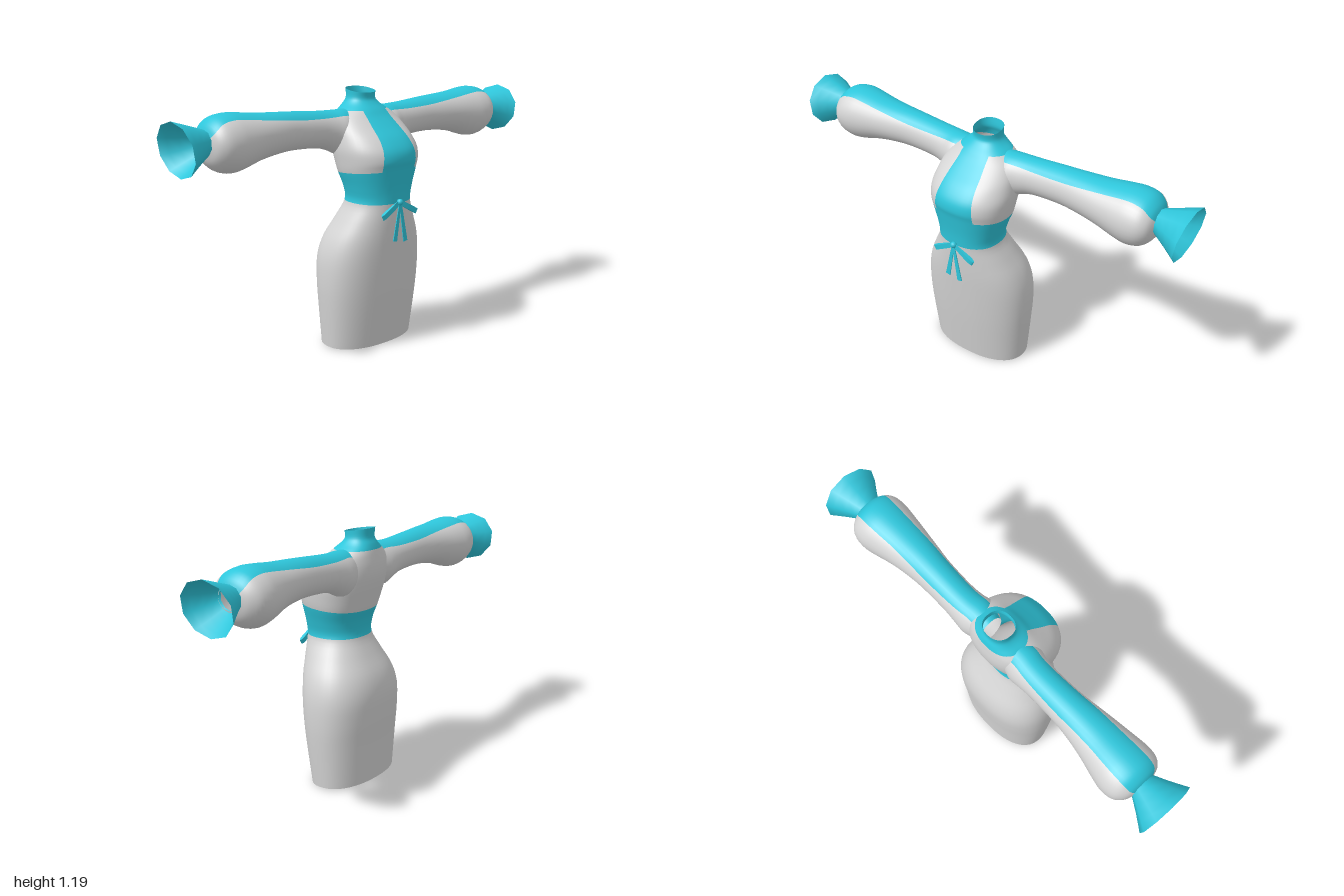
import * as THREE from 'three';

const material = (name, color) => {
  const m = new THREE.MeshStandardMaterial({ color, side: THREE.DoubleSide });
  m.name = name;
  return m;
};

// Catmull-Rom blend of one channel
const blend = (a, b, c, d, t) =>
  0.5 * (2 * b + (c - a) * t + (2 * a - 5 * b + 4 * c - d) * t * t + (3 * b - a - 3 * c + d) * t * t * t);

// Skin through cross-sections [h, sMin, sMax, tMin, tMax, panelHalf, tilt].
// A ring lies in (s, t); its panel faces +t and is panelHalf wide to each side.
// place(s, t, h) gives the point; colour(segment, inPanel) gives the material index.
function loft(sections, { place, colour, power = 2, panelCols = 8, restCols = 40, steps = 4, flip = false }) {
  const rows = [], last = sections.length - 1;
  for (let i = 0; i < last; i++) {
    const q = [sections[Math.max(i - 1, 0)], sections[i], sections[i + 1], sections[Math.min(i + 2, last)]];
    for (let k = 0; k < steps; k++) {
      rows.push(q[1].map((_, c) => blend(q[0][c], q[1][c], q[2][c], q[3][c], k / steps)));
    }
  }
  rows.push(sections[last]);

  const cols = panelCols + restCols, points = [];
  const bend = (v) => Math.sign(v) * Math.abs(v) ** (2 / power);
  for (const [h, s0, s1, t0, t1, p, tilt] of rows) {
    const sr = (s1 - s0) / 2, tr = (t1 - t0) / 2;
    const edge = Math.asin(Math.min(0.98, p / sr) ** (power / 2));
    for (let j = 0; j < cols; j++) {
      const a = j <= panelCols
        ? -edge + (2 * edge * j) / panelCols
        : edge + ((2 * Math.PI - 2 * edge) * (j - panelCols)) / restCols;
      const s = bend(Math.sin(a)) * sr, t = bend(Math.cos(a)) * tr;
      points.push(...place((s0 + s1) / 2 + s, (t0 + t1) / 2 + t, h + tilt * t));
    }
  }

  const faces = [[], []];
  for (let i = 0; i < rows.length - 1; i++) {
    for (let j = 0; j < cols; j++) {
      const a = i * cols + j, b = i * cols + ((j + 1) % cols), c = b + cols, d = a + cols;
      const list = faces[colour(Math.floor(i / steps), j < panelCols)];
      list.push(...(flip ? [a, c, b, a, d, c] : [a, b, c, a, c, d]));
    }
  }
  const geo = new THREE.BufferGeometry();
  geo.setAttribute('position', new THREE.Float32BufferAttribute(points, 3));
  geo.setIndex([...faces[0], ...faces[1]]);
  geo.addGroup(0, faces[0].length, 0);
  geo.addGroup(faces[0].length, faces[1].length, 1);
  geo.computeVertexNormals();
  return geo;
}

export function createModel() {
  const group = new THREE.Group();
  group.name = 'dress';
  const grey = material('light grey cloth', 0xd4d4d4);
  const cyan = material('cyan cloth', 0x2ec6db);
  const add = (name, geo, mat, parent = group) => {
    const mesh = new THREE.Mesh(geo, mat);
    mesh.name = name;
    parent.add(mesh);
    return mesh;
  };

  // Skirt, sash, bodice and collar: y, half width, back z, front z, panel half, tilt
  const body = [
    [0.006, 0.245, -0.17, 0.11, 0.1, -0.035],
    [0.2, 0.262, -0.182, 0.138, 0.1, 0],
    [0.32, 0.268, -0.192, 0.153, 0.1, 0],
    [0.43, 0.262, -0.195, 0.165, 0.1, 0],
    [0.52, 0.237, -0.175, 0.174, 0.1, 0],
    [0.61, 0.19, -0.128, 0.181, 0.1, 0],
    [0.692, 0.15, -0.09, 0.186, 0.1, 0],
    [0.76, 0.16, -0.092, 0.191, 0.1, 0],
    [0.833, 0.183, -0.112, 0.204, 0.1, 0.08],
    [0.885, 0.192, -0.132, 0.213, 0.1, 0.02],
    [0.935, 0.196, -0.148, 0.203, 0.095, 0],
    [0.985, 0.19, -0.158, 0.165, 0.087, 0],
    [1.03, 0.18, -0.158, 0.112, 0.08, 0],
    [1.07, 0.158, -0.152, 0.066, 0.072, 0],
    [1.1, 0.12, -0.146, 0.038, 0.068, 0],
    [1.125, 0.085, -0.138, 0.012, 0.05, 0],
    [1.15, 0.067, -0.127, -0.003, 0.04, -0.05],
    [1.185, 0.066, -0.131, 0, 0.04, -0.15],
  ];
  add('dressBody', loft(body.map(([y, w, ...rest]) => [y, -w, w, ...rest]), {
    place: (s, t, h) => [s, h, t],
    colour: (i, panel) => (i === 6 || i === 7 || i >= 14 || (panel && i > 7) ? 1 : 0),
    power: 2.3,
  }), [grey, cyan]);

  // Sleeves: x, back z, front z, bottom y, top y, top band half, tilt
  const sleeve = [
    [0.06, -0.12, 0.0, 0.94, 1.105, 0.055, 0],
    [0.14, -0.145, 0.035, 0.9, 1.107, 0.058, 0],
    [0.2, -0.145, 0.022, 0.922, 1.107, 0.058, 0],
    [0.27, -0.143, 0.014, 0.943, 1.11, 0.06, 0],
    [0.4, -0.146, 0.016, 0.951, 1.12, 0.065, 0],
    [0.5, -0.155, 0.028, 0.946, 1.126, 0.068, 0],
    [0.6, -0.172, 0.042, 0.93, 1.132, 0.07, 0],
    [0.69, -0.193, 0.054, 0.903, 1.142, 0.074, 0],
    [0.75, -0.203, 0.06, 0.894, 1.145, 0.076, 0],
    [0.805, -0.195, 0.054, 0.91, 1.135, 0.076, 0],
    [0.84, -0.165, 0.028, 0.945, 1.108, 0.07, 0],
    [0.855, -0.13, -0.012, 0.982, 1.08, 0.05, 0],
  ];
  // Flared ten-sided cuffs, open at the wrist
  const cuff = [
    [0.845, -0.128, -0.014, 0.98, 1.085, 0.0335, 0],
    [0.91, -0.165, 0.02, 0.94, 1.107, 0.054, 0.06],
    [0.982, -0.211, 0.064, 0.898, 1.134, 0.081, 0.15],
  ];
  for (const [side, sign] of [['left', 1], ['right', -1]]) {
    const place = (s, t, h) => [sign * h, t, s];
    const flip = sign < 0;
    add(`${side}Sleeve`, loft(sleeve, { place, flip, colour: (i, panel) => (panel ? 1 : 0), restCols: 28 }), [grey, cyan]);
    add(`${side}Cuff`, loft(cuff, { place, flip, colour: () => 1, panelCols: 2, restCols: 8, steps: 2 }), [grey, cyan]);
  }

  // Bow at the front of the waist
  const bow = new THREE.Group();
  bow.name = 'bow';
  bow.position.set(0, 0.698, 0.196);
  group.add(bow);
  add('bowKnot', new THREE.SphereGeometry(0.015, 12, 8), cyan, bow);

  // Folded loops, teardrop in section
  const drop = new THREE.Shape();
  drop.moveTo(0, 0);
  drop.bezierCurveTo(0.05, 0.004, 0.12, 0.02, 0.124, 0);
  drop.bezierCurveTo(0.12, -0.012, 0.05, -0.004, 0, 0);
  const loop = new THREE.ExtrudeGeometry(drop, { depth: 0.024, bevelEnabled: false, curveSegments: 8 });
  loop.translate(0, 0, -0.012).rotateX(-Math.PI / 2);
  add('leftBowLoop', loop, cyan, bow).rotation.z = -0.5;
  add('rightBowLoop', loop, cyan, bow).rotation.z = Math.PI + 0.5;

  // Hanging ribbon tails, widening downwards
  const strip = new THREE.Shape([[-0.006, 0], [-0.012, -0.19], [0.012, -0.19], [0.006, 0]]
    .map(([x, y]) => new THREE.Vector2(x, y)));
  const tail = new THREE.ExtrudeGeometry(strip, { depth: 0.004, bevelEnabled: false });
  add('leftBowTail', tail, cyan, bow).rotation.z = 0.18;
  const rightTail = add('rightBowTail', tail, cyan, bow);
  rightTail.rotation.z = -0.18;
  rightTail.scale.y = 0.95;

  return group;
}
